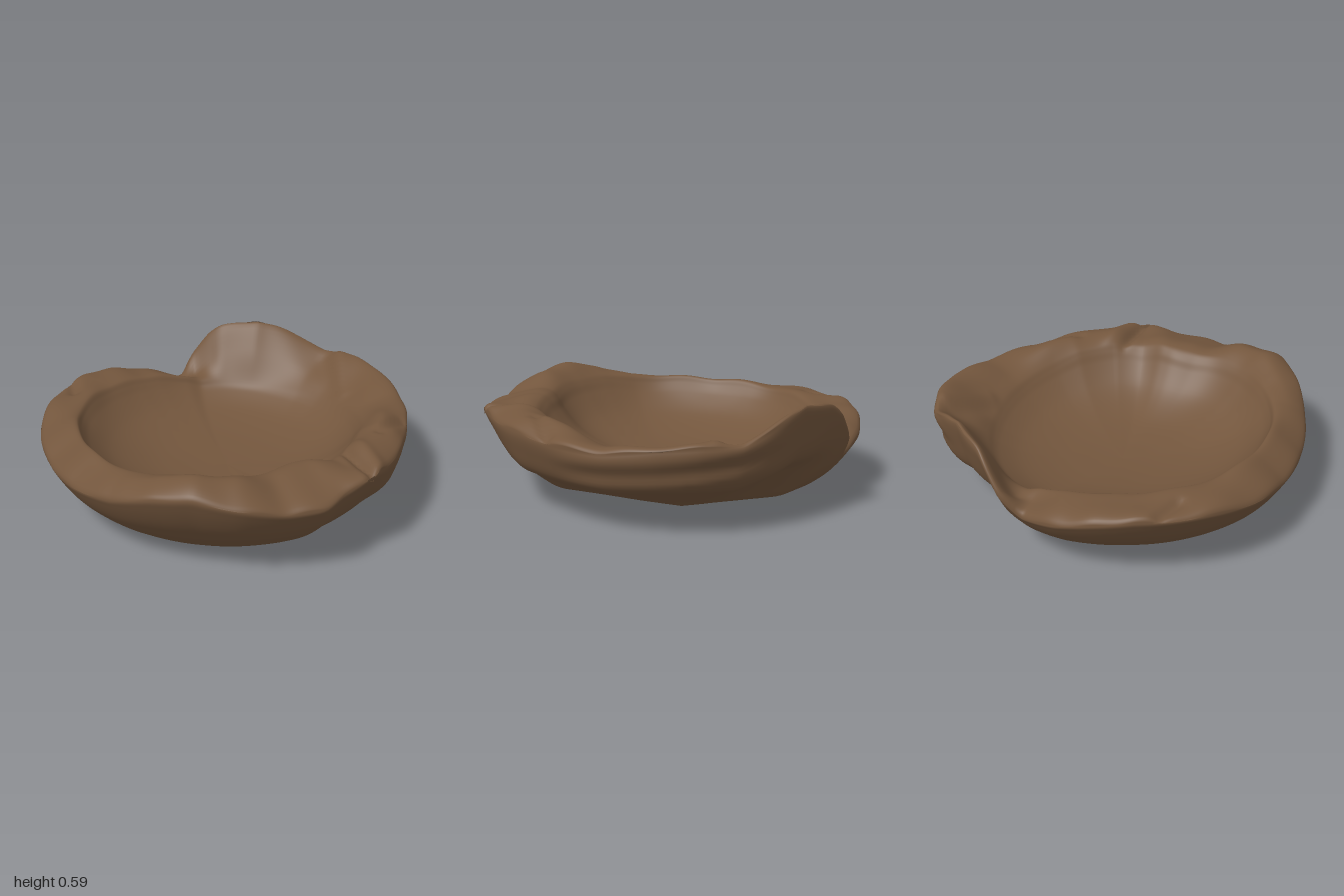
import * as THREE from 'three';

// Rim: [angle in degrees from +x towards +z, outer radius, lip height, middle height, inner crest height]
const RIM = [
  [0, 0.97, 0.44, 0.48, 0.46], [12, 1.01, 0.47, 0.46, 0.44], [21, 0.995, 0.42, 0.48, 0.48],
  [28, 1.04, 0.4, 0.47, 0.48], [39, 1.025, 0.4, 0.46, 0.46], [51, 1.04, 0.45, 0.52, 0.47],
  [64, 1.02, 0.49, 0.535, 0.48], [76, 1.0, 0.45, 0.51, 0.47], [90, 0.97, 0.37, 0.43, 0.44],
  [108, 0.95, 0.32, 0.4, 0.43], [126, 0.95, 0.31, 0.39, 0.42], [142, 0.98, 0.34, 0.4, 0.42],
  [160, 1.0, 0.38, 0.41, 0.41], [180, 1.0, 0.39, 0.41, 0.4], [192, 0.99, 0.36, 0.39, 0.39],
  [203, 0.96, 0.31, 0.36, 0.37], [217, 0.89, 0.25, 0.29, 0.33], [222, 0.95, 0.37, 0.29, 0.3],
  [228, 0.945, 0.51, 0.38, 0.3], [232, 0.93, 0.56, 0.43, 0.3], [246, 0.92, 0.605, 0.46, 0.3],
  [253, 0.94, 0.57, 0.44, 0.3], [270, 0.98, 0.46, 0.39, 0.3], [282, 1.0, 0.47, 0.4, 0.31],
  [294, 1.0, 0.46, 0.41, 0.33], [310, 0.975, 0.42, 0.41, 0.36], [330, 0.94, 0.42, 0.47, 0.41],
  [342, 0.94, 0.43, 0.5, 0.45], [360, 0.97, 0.44, 0.48, 0.46],
];
// Hollow: [fraction of inner radius, fraction of depth]
const HOLLOW = [[0.95, 0.82], [0.8, 0.46], [0.55, 0.17], [0.27, 0.04], [0, 0]];
const FLOOR = 0.13;
const { lerp, clamp, smoothstep, degToRad } = THREE.MathUtils;

function rimAt(deg) {
  const d = (deg + 360) % 360;
  const k = RIM.findIndex((row, i) => i > 0 && d <= row[0]);
  const a = RIM[k - 1], b = RIM[k], t = (d - a[0]) / (b[0] - a[0]);
  return [1, 2, 3, 4].map((n) => lerp(a[n], b[n], t));
}

// Softened rim values: average of neighbouring angles
function softRim(deg) {
  const s = [-1.5, 0, 1.5].map((o) => rimAt(deg + o));
  return s[1].map((v, n) => (s[0][n] + 2 * v + s[2][n]) / 4);
}

// Pressed creases (negative) and ridges (positive) across the rim: x1, z1, x2, z2, height, width
const FOLDS = [
  [0.72, 0.04, 1.0, 0.2, -0.03, 0.025], [0.74, -0.04, 0.98, 0.1, 0.015, 0.04],
  [0.12, -0.93, 0.29, -0.7, 0.02, 0.04], [0.04, -0.9, 0.2, -0.7, -0.01, 0.04],
  [-0.97, 0.12, -0.87, 0.22, -0.02, 0.03], [0.8, -0.45, 0.8, -0.2, -0.02, 0.025],
];

function foldHeight(x, z) {
  let h = 0;
  for (const [x1, z1, x2, z2, amount, width] of FOLDS) {
    const dx = x2 - x1, dz = z2 - z1;
    const t = clamp(((x - x1) * dx + (z - z1) * dz) / (dx * dx + dz * dz), 0, 1);
    const d = Math.hypot(x - x1 - t * dx, z - z1 - t * dz);
    h += amount * Math.exp(-((d / width) ** 2));
  }
  return h;
}

// Distance to a straight cut across the base, facing the given angle
function cut(a, facing, distance) {
  const c = Math.cos(a - degToRad(facing));
  return c > 0.1 ? distance / c : 10;
}

// Closed section from the centre of the base, over the lip, to the centre of the hollow
function section(deg) {
  const a = degToRad(deg);
  const [R, lip, mid, crest] = softRim(deg);
  const round = 0.6 + 0.03 * Math.sin(a);
  const foot = Math.min(round, cut(a, 270, 0.41), cut(a, 315, 0.37));
  const back = clamp((round - foot) / 0.15, 0, 1);
  // the rim swells inward at the front left
  const swell = 0.07 * Math.exp(-(((deg - 30) / 15) ** 2));
  const inner = 0.725 + 0.04 * Math.sin(a) - 0.015 * Math.cos(a) + 0.006 * Math.sin(5 * a) - swell;
  const wall = (t, h, tb, hb) => [lerp(foot, R, lerp(t, tb, back)), lip * lerp(h, hb, back)];
  const top = (t) => lerp(inner, R, t);
  const edge = crest - 0.035;
  const pts = [
    [0, 0], [foot * 0.6, 0], [foot, 0.012],
    wall(0.34, 0.2, 0.23, 0.15), wall(0.6, 0.4, 0.59, 0.37),
    wall(0.8, 0.61, 0.86, 0.49), wall(0.96, 0.86, 0.96, 0.74),
    [R, lip - 0.015], [top(0.93), lerp(lip, mid, 0.1) + 0.008],
    [top(0.5), mid], [top(0.12), crest], [inner, edge],
    ...HOLLOW.map(([r, h]) => [inner * r, lerp(FLOOR, edge, h)]),
  ];
  return new THREE.CatmullRomCurve3(pts.map(([r, y]) => new THREE.Vector3(r, y, 0)), false, 'centripetal');
}

function bowlGeometry(around = 300, along = 96) {
  const pos = [], index = [];
  for (let i = 0; i < around; i++) {
    const deg = (i / around) * 360, a = degToRad(deg);
    const curve = section(deg);
    for (let j = 0; j <= along; j++) {
      const p = curve.getPoint(j / along);
      let r = Math.max(p.x, 0), y = p.y;
      const x = r * Math.cos(a), z = r * Math.sin(a);
      if (j > along * 0.44) {
        // hand-worked unevenness on the rim
        const onRim = smoothstep(r, 0.68, 0.8);
        y += onRim * (foldHeight(x, z) + 0.005 * Math.sin(17 * x + 9 * z) + 0.004 * Math.sin(23 * z - 13 * x));
      } else {
        // strata on the torn underside at the back
        const torn = smoothstep(-z, 0.4, 0.7) * smoothstep(x, -0.35, 0);
        r += torn * 0.006 * Math.sin(48 * y + 5 * x);
      }
      pos.push(r * Math.cos(a), Math.max(y, 0), r * Math.sin(a));
      if (j < along) {
        const n = along + 1, p0 = i * n + j, q0 = ((i + 1) % around) * n + j;
        if (j > 0) index.push(p0, p0 + 1, q0);
        if (j < along - 1) index.push(p0 + 1, q0 + 1, q0);
      }
    }
  }
  const g = new THREE.BufferGeometry();
  g.setAttribute('position', new THREE.Float32BufferAttribute(pos, 3));
  g.setIndex(index);
  g.computeVertexNormals();
  return g;
}

export function createModel() {
  const group = new THREE.Group();
  group.name = 'roughClayBowl';
  const clay = new THREE.MeshStandardMaterial({ color: 0x73563d });
  clay.name = 'brown clay';
  const bowl = new THREE.Mesh(bowlGeometry(), clay);
  bowl.name = 'bowl';
  group.add(bowl);
  return group;
}
